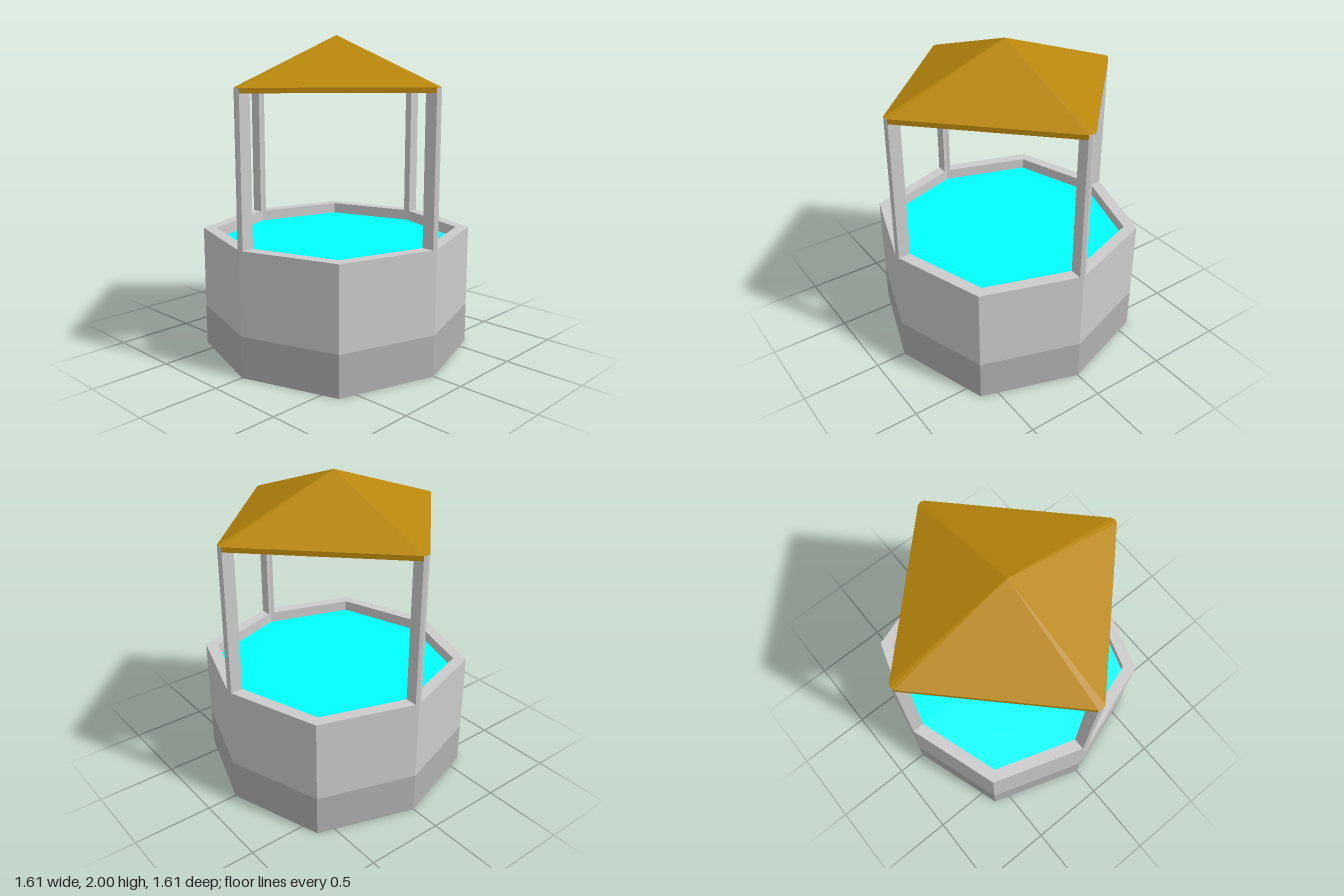
import * as THREE from 'three';

const V2 = (x, y) => new THREE.Vector2(x, y);

// Eight-cornered outline: reach `a` on the axes, corners at (d, d)
function octagon(a, d) {
  return [[a, 0], [d, d], [0, a], [-d, d], [-a, 0], [-d, -d], [0, -a], [d, -d]].map(([x, y]) => V2(x, y));
}

// Repeat a few points around the four axes
function fourfold(points) {
  const out = [];
  for (let i = 0; i < 4; i++) {
    for (const [x, y] of points) out.push(V2(x, y).rotateAround(V2(0, 0), i * Math.PI / 2));
  }
  return out;
}

// Upright prism from a plan outline
function prism(outline, y0, y1, hole) {
  const shape = new THREE.Shape(outline);
  if (hole) shape.holes.push(new THREE.Path(hole));
  const geo = new THREE.ExtrudeGeometry(shape, { depth: y1 - y0, bevelEnabled: false });
  return geo.rotateX(-Math.PI / 2).translate(0, y0, 0);
}

// Open fan of triangles rising from an outline to an apex
function pyramid(outline, y, apex) {
  const pos = [];
  outline.forEach((p, i) => {
    const q = outline[(i + 1) % outline.length];
    pos.push(p.x, y, -p.y, q.x, y, -q.y, 0, apex, 0);
  });
  const geo = new THREE.BufferGeometry();
  geo.setAttribute('position', new THREE.Float32BufferAttribute(pos, 3));
  geo.computeVertexNormals();
  return geo;
}

export function createModel() {
  const model = new THREE.Group();
  model.name = 'well';
  const stone = new THREE.MeshStandardMaterial({ color: 0xcccccc, flatShading: true });
  const darkStone = new THREE.MeshStandardMaterial({ color: 0xb0b0b0, flatShading: true });
  const wood = new THREE.MeshStandardMaterial({ color: 0xb8860b, flatShading: true });
  const blue = new THREE.MeshStandardMaterial({ color: 0x00ffff, flatShading: true });

  const add = (name, geo, mat) => {
    const mesh = new THREE.Mesh(geo, mat);
    mesh.name = name;
    model.add(mesh);
    return mesh;
  };

  const outer = octagon(0.805, 0.605);
  const inner = octagon(0.727, 0.547);

  // Basin: dark foot, hollow wall and water just below the rim
  add('base', prism(outer, 0, 0.26), darkStone);
  add('wall', prism(outer, 0.26, 0.78, inner), stone);
  const water = new THREE.ShapeGeometry(new THREE.Shape(inner)).rotateX(-Math.PI / 2);
  add('water', water.translate(0, 0.71, 0), blue);

  // Slim posts on the four axis corners, their outer side following the wall
  const w = 0.023;
  const section = [V2(0.727, 0), V2(0.72, -w), V2(0.797, -w), V2(0.805, 0), V2(0.797, w), V2(0.72, w)];
  for (let i = 0; i < 4; i++) {
    add('post', prism(section, 0.78, 1.709), stone).rotation.y = i * Math.PI / 2;
  }

  // Roof: thin eave board between the post tips, with a shallow hipped cap
  add('eave', prism(fourfold([[0.797, -w], [0.797, w]]), 1.68, 1.71), wood);
  add('roof', pyramid(fourfold([[0.797, -w], [0.805, 0], [0.797, w]]), 1.71, 2), wood);

  return model;
}
